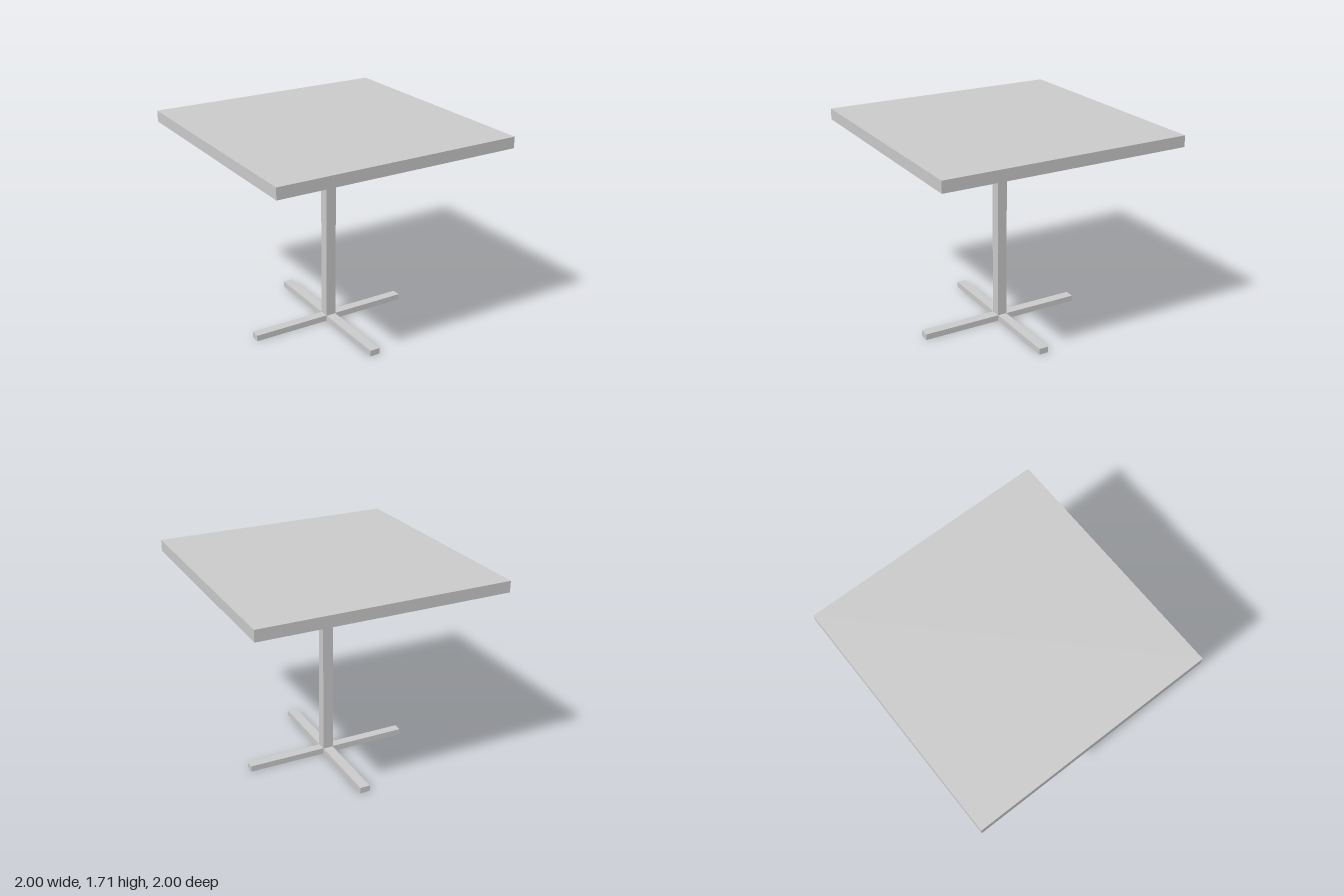
import * as THREE from 'three';

export function createModel() {
  const table = new THREE.Group();
  table.name = 'pedestalTable';
  const material = new THREE.MeshStandardMaterial({ color: 0xcccccc, flatShading: true });

  // Box resting on height y
  function addBox(name, width, height, depth, y) {
    const mesh = new THREE.Mesh(new THREE.BoxGeometry(width, height, depth), material);
    mesh.name = name;
    mesh.position.y = y + height / 2;
    table.add(mesh);
  }

  // Square slab top
  addBox('tableTop', 2, 0.09, 2, 1.615);

  // Central post
  addBox('post', 0.088, 1.605, 0.08, 0.01);

  // Crossed floor bars
  addBox('footBarSideways', 1.384, 0.05, 0.076, 0.002);
  addBox('footBarLengthways', 0.084, 0.05, 1.4, 0);

  return table;
}
